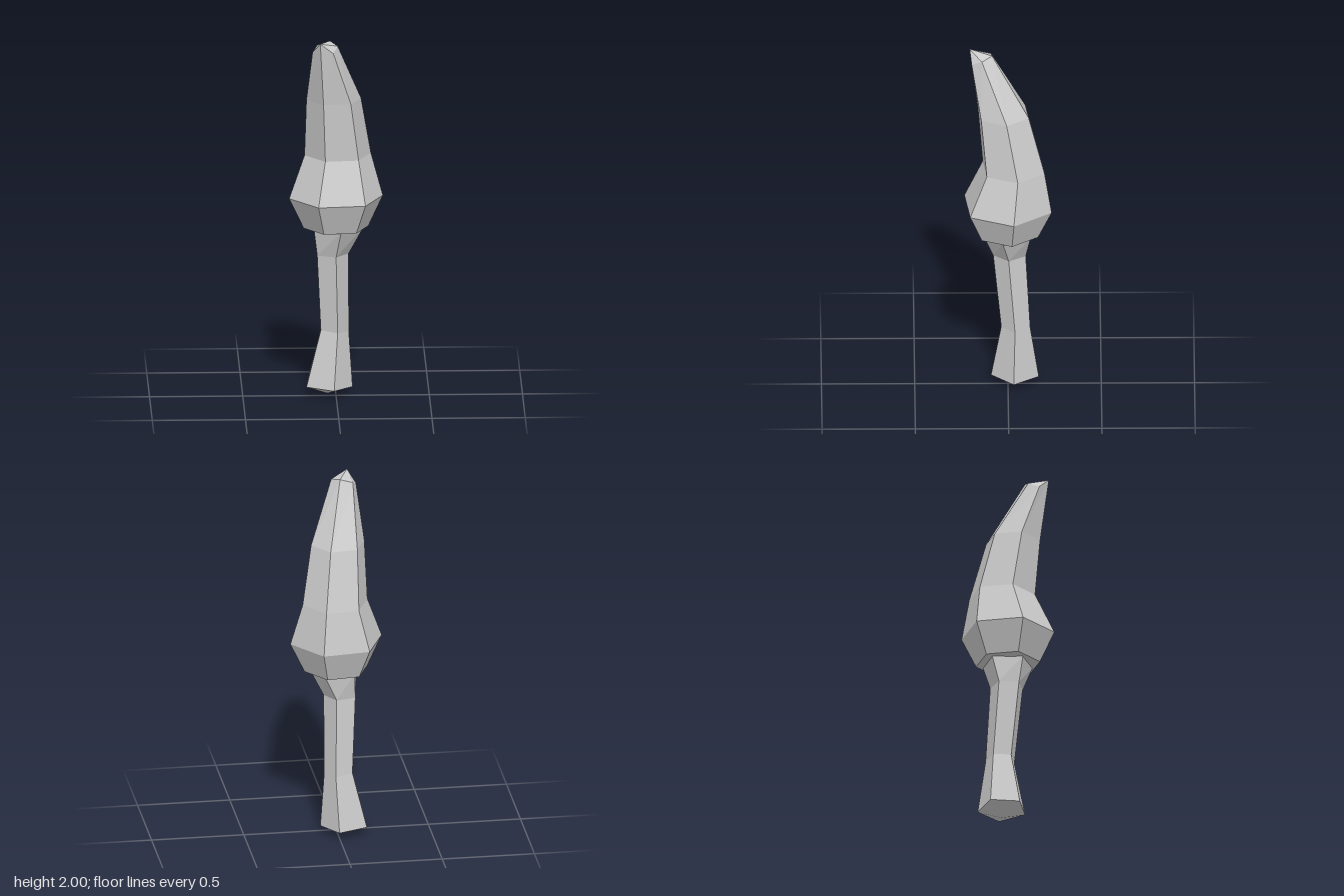
import * as THREE from 'three';

const material = new THREE.MeshStandardMaterial({ color: 0xcccccc, flatShading: true });

// Regular polygon ring around (cx, y, cz); tilt lowers it towards +x
function ring(sides, y, cx, cz, r, degrees, tilt = 0) {
  return Array.from({ length: sides }, (_, i) => {
    const a = THREE.MathUtils.degToRad(degrees) + (i / sides) * Math.PI * 2;
    const dx = r * Math.cos(a);
    return new THREE.Vector3(cx + dx, y - tilt * dx, cz + r * Math.sin(a));
  });
}

// Skin a stack of rings (bottom to top) and close both ends with fans
function loft(name, rings, bottom, top) {
  const pos = [];
  const tri = (...pts) => {
    if (new Set(pts).size === 3) pts.forEach((p) => pos.push(p.x, p.y, p.z));
  };
  const n = rings[0].length;
  const last = rings.length - 1;
  for (let i = 0; i < n; i++) {
    const j = (i + 1) % n;
    for (let k = 0; k < last; k++) {
      const lo = rings[k], hi = rings[k + 1];
      tri(lo[i], hi[i], lo[j]);
      tri(lo[j], hi[i], hi[j]);
    }
    tri(bottom, rings[0][i], rings[0][j]);
    tri(top, rings[last][j], rings[last][i]);
  }
  const geometry = new THREE.BufferGeometry();
  geometry.setAttribute('position', new THREE.Float32BufferAttribute(pos, 3));
  geometry.computeVertexNormals();
  const mesh = new THREE.Mesh(geometry, material);
  mesh.name = name;
  return mesh;
}

export function createModel() {
  const group = new THREE.Group();
  group.name = 'clubModel';

  // Five-sided stem with a flared, pointed foot
  const stem = [
    ring(5, 0.048, -0.045, -0.04, 0.135, 4, 0.06),
    ring(5, 0.355, -0.012, -0.043, 0.082, 4, 0.1),
    ring(5, 0.785, -0.024, -0.01, 0.092, 4),
    ring(5, 0.935, 0.008, 0, 0.14, 12),
  ];
  group.add(loft('stem', stem, new THREE.Vector3(-0.045, 0, -0.045), new THREE.Vector3(0, 0.935, 0)));

  // Six-sided head, bent forward to a slanted tip
  const tip = [
    [0.005, 1.972, 0.14], [-0.02, 1.945, 0.195], [-0.09, 2, 0.205],
    [-0.13, 1.94, 0.145], [-0.105, 1.965, 0.09], [-0.035, 1.988, 0.085],
  ].map((p) => new THREE.Vector3(...p));
  const head = [
    ring(6, 0.933, 0, 0, 0.175, -6.8),
    ring(6, 1.1, 0, 0, 0.254, -6.8),
    ring(6, 1.33, 0.01, -0.03, 0.18, -6.8),
    ring(6, 1.65, -0.013, 0.025, 0.148, -6.8),
    tip,
  ];
  group.add(loft('head', head, new THREE.Vector3(0, 0.928, 0), tip[2]));

  return group;
}
